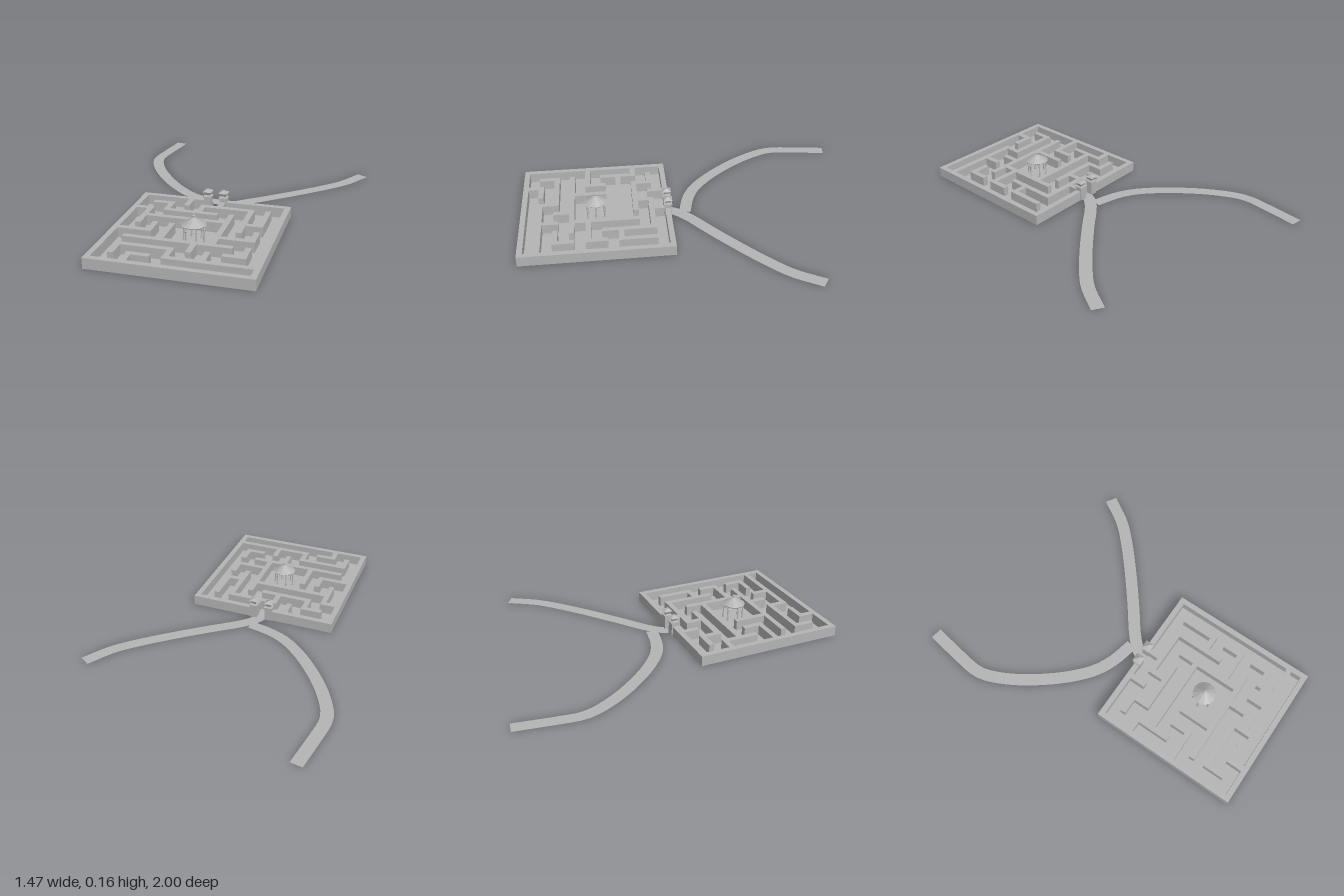
import * as THREE from 'three';

const PITCH = 0.0948, THICK = 0.032, WALL_H = 0.061, X0 = -0.497, Z0 = 0.131;
const gx = i => X0 + i * PITCH, gz = j => Z0 + j * PITCH;

// Maze walls on a 9 x 9 cell grid: [i0, j0, i1, j1]
const OUTER = [[0, 0, 4, 0], [5, 0, 9, 0], [0, 9, 9, 9], [0, 0, 0, 9], [9, 0, 9, 9]];
const INNER = [
  [3, 0, 3, 1], [5, 0, 5, 1], [4, 1, 7, 1], [4, 1, 4, 2], [7, 1, 7, 4],
  [1, 1, 2, 1], [2, 1, 2, 2], [2, 2, 5, 2], [0, 2, 1, 2], [1, 2, 1, 4],
  [1, 3, 6, 3], [6, 2, 6, 6], [6, 5, 8, 5], [8, 4, 8, 5], [7, 3, 8, 3], [8, 1, 8, 3],
  [0, 5, 2, 5], [2, 4, 2, 5], [3, 4, 3, 6], [1, 6, 7, 6], [5, 6, 5, 7],
  [1, 7, 4, 7], [1, 7, 1, 8], [4, 7, 4, 8], [4, 8, 9, 8], [6, 7, 6, 8],
  [2, 8, 3, 8], [2, 8, 2, 9], [7, 7, 8, 7], [8, 6, 8, 7],
];

// Flat ribbon of constant width following [x, z] points
function ribbon(points, width, y, steps) {
  const curve = new THREE.CatmullRomCurve3(points.map(([x, z]) => new THREE.Vector3(x, y, z)), false, 'centripetal');
  const pos = [], index = [];
  for (let k = 0; k <= steps; k++) {
    const p = curve.getPointAt(k / steps), t = curve.getTangentAt(k / steps);
    const nx = t.z * width / 2, nz = -t.x * width / 2;
    pos.push(p.x + nx, y, p.z + nz, p.x - nx, y, p.z - nz);
    if (k < steps) {
      const a = 2 * k;
      index.push(a, a + 1, a + 3, a, a + 3, a + 2);
    }
  }
  const g = new THREE.BufferGeometry();
  g.setAttribute('position', new THREE.Float32BufferAttribute(pos, 3));
  g.setIndex(index);
  g.computeVertexNormals();
  return g;
}

export function createModel() {
  const stone = new THREE.MeshStandardMaterial({ color: 0xb4b4b4, flatShading: true, side: THREE.DoubleSide });
  stone.name = 'grey stone';
  const model = new THREE.Group();
  model.name = 'gardenMaze';

  const group = (name, parent = model) => {
    const g = new THREE.Group();
    g.name = name;
    parent.add(g);
    return g;
  };
  const add = (parent, name, geo, x = 0, y = 0, z = 0) => {
    const m = new THREE.Mesh(geo, stone);
    m.name = name;
    m.position.set(x, y, z);
    parent.add(m);
    return m;
  };

  // Floor and hedge walls
  const maze = group('maze');
  const size = 9 * PITCH;
  const floor = new THREE.PlaneGeometry(size, size).rotateX(-Math.PI / 2);
  add(maze, 'floor', floor, gx(4.5), 0.002, gz(4.5));
  const wall = (name, [i0, j0, i1, j1]) => add(maze, name,
    new THREE.BoxGeometry((i1 - i0) * PITCH + THICK, WALL_H, (j1 - j0) * PITCH + THICK),
    gx((i0 + i1) / 2), WALL_H / 2, gz((j0 + j1) / 2));
  OUTER.forEach(w => wall('outerWall', w));
  INNER.forEach(w => wall('innerWall', w));

  // Approach paths that meet at the gate
  add(model, 'leftwardPath', ribbon([[-0.654, -0.995], [-0.69, -0.75], [-0.70, -0.66], [-0.688, -0.58],
    [-0.61, -0.418], [-0.492, -0.254], [-0.39, -0.143], [-0.286, -0.058], [-0.185, -0.01], [-0.04, 0.025]],
  0.07, 0.001, 28));
  add(model, 'rightwardPath', ribbon([[0.706, -0.653], [0.608, -0.497], [0.513, -0.397], [0.365, -0.265],
    [0.175, -0.11], [0.032, 0], [-0.025, 0.055], [-0.066, 0.115], [-0.07, 0.16]], 0.072, 0.0015, 28));

  // Gate pillars with lantern tops
  const square = (rTop, rBottom, h) =>
    new THREE.CylinderGeometry(rTop * Math.SQRT2, rBottom * Math.SQRT2, h, 4).rotateY(Math.PI / 4);
  for (const i of [4, 5]) {
    const pillar = group('gatePillar');
    pillar.position.set(gx(i), 0, Z0 - 0.002);
    add(pillar, 'post', new THREE.BoxGeometry(0.042, 0.08, 0.042), 0, 0.04, 0);
    add(pillar, 'cap', new THREE.BoxGeometry(0.05, 0.007, 0.05), 0, 0.0835, 0);
    add(pillar, 'neck', square(0.01, 0.014, 0.008), 0, 0.091, 0);
    add(pillar, 'lantern', square(0.022, 0.013, 0.02), 0, 0.104, 0);
    add(pillar, 'lanternRoof', square(0.005, 0.026, 0.014), 0, 0.121, 0);
    add(pillar, 'finial', new THREE.SphereGeometry(0.005, 6, 4), 0, 0.13, 0);
  }

  // Gazebo in the central room
  const gazebo = group('gazebo');
  gazebo.position.set(gx(4.5), 0, gz(4.5));
  add(gazebo, 'roof', new THREE.CylinderGeometry(0.006, 0.07, 0.042, 12), 0, 0.119, 0);
  add(gazebo, 'eave', new THREE.CylinderGeometry(0.07, 0.066, 0.005, 12), 0, 0.0965, 0);
  add(gazebo, 'finial', new THREE.SphereGeometry(0.009, 8, 6), 0, 0.146, 0);
  for (let k = 0; k < 6; k++) {
    const a = k * Math.PI / 3, x = 0.058 * Math.cos(a), z = 0.058 * Math.sin(a);
    add(gazebo, 'column', new THREE.CylinderGeometry(0.004, 0.004, 0.096, 8), x, 0.048, z);
    add(gazebo, 'columnBase', new THREE.CylinderGeometry(0.006, 0.008, 0.012, 8), x, 0.006, z);
    add(gazebo, 'columnCollar', new THREE.SphereGeometry(0.007, 8, 6), x, 0.074, z);
  }
  return model;
}
